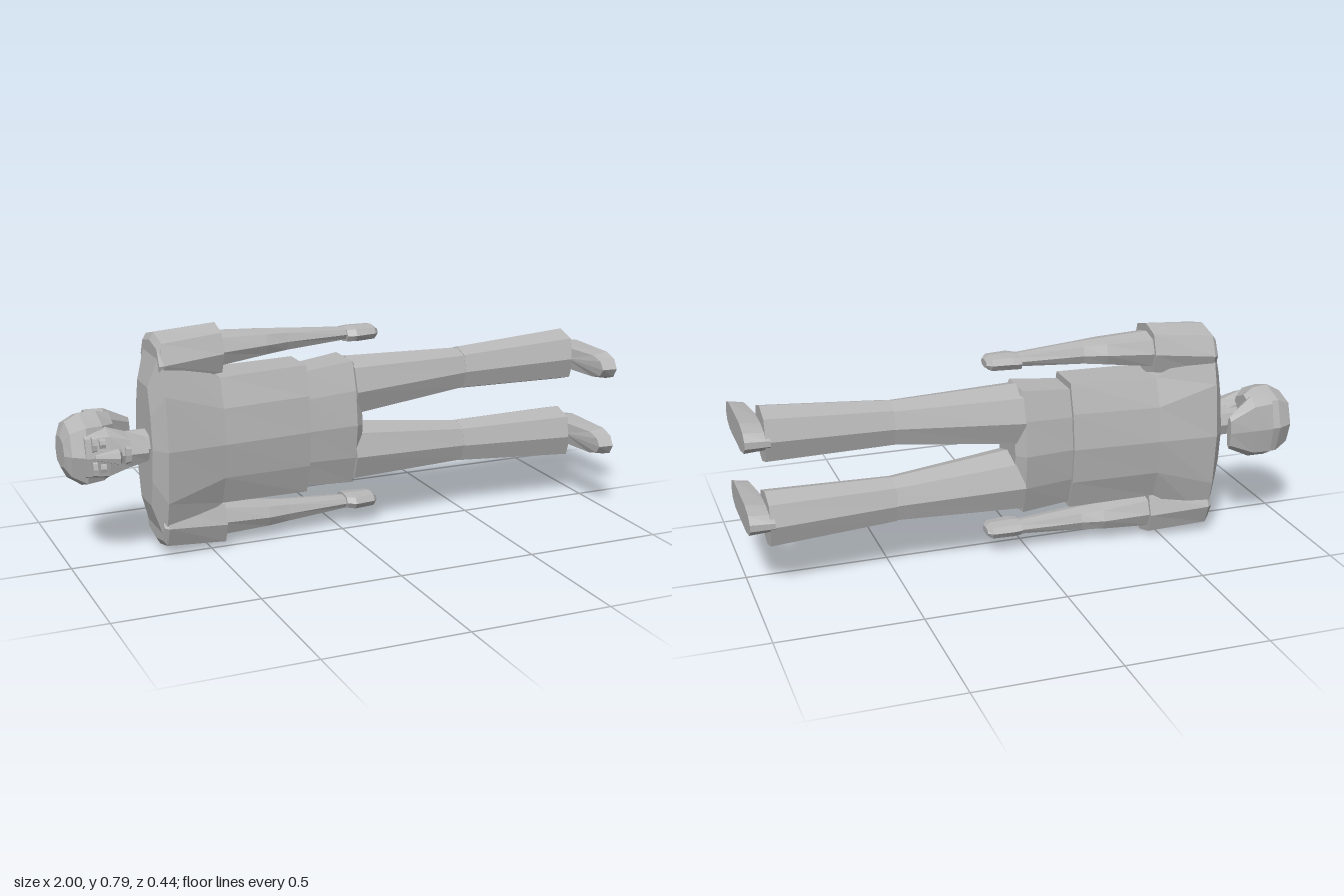
import * as THREE from 'three';

const grey = new THREE.MeshStandardMaterial({ color: 0xb6b6b6 });
grey.name = 'plain grey';

// Unit cross-sections as [y, z], counter-clockwise about +x
const octagon = [[1, 0], [0.76, 0.76], [0, 1], [-0.76, 0.76], [-1, 0], [-0.76, -0.76], [0, -1], [0.76, -0.76]];
const broad = [[1, -0.6], [1, 0.6], [0.55, 0.87], [0, 1], [-0.55, 0.87], [-1, 0.6], [-1, -0.6], [-0.55, -0.87], [0, -1], [0.55, -0.87]];

// Faceted mesh from a flat list of triangle corners
function facetedMesh(name, corners) {
  const geo = new THREE.BufferGeometry();
  geo.setAttribute('position', new THREE.Float32BufferAttribute(corners, 3));
  geo.computeVertexNormals();
  const mesh = new THREE.Mesh(geo, grey);
  mesh.name = name;
  return mesh;
}

// Closed loft along x; each station is [x, yMin, yMax, zMin, zMax]
function loft(name, stations, section = octagon) {
  const rings = stations.map(([x, y0, y1, z0, z1]) => section.map(([u, v]) =>
    [x, (y0 + y1) / 2 + u * (y1 - y0) / 2, (z0 + z1) / 2 + v * (z1 - z0) / 2]));
  const mid = ([x, y0, y1, z0, z1]) => [x, (y0 + y1) / 2, (z0 + z1) / 2];
  const first = mid(stations[0]), last = mid(stations[stations.length - 1]);
  const end = rings[rings.length - 1], n = section.length, p = [];
  for (let j = 0; j < n; j++) {
    const k = (j + 1) % n;
    p.push(...first, ...rings[0][k], ...rings[0][j], ...last, ...end[j], ...end[k]);
    for (let i = 0; i < rings.length - 1; i++) {
      const a = rings[i], b = rings[i + 1];
      p.push(...a[j], ...a[k], ...b[k], ...a[j], ...b[k], ...b[j]);
    }
  }
  return facetedMesh(name, p);
}

// Stations for the opposite side of the body
const MID = 0.405;
const flip = (stations) => stations.map(([x, a, b, c, d]) => [x, 2 * MID - b, 2 * MID - a, c, d]);

// Shoe with a flat rounded sole at x = 1 and a lower toe than heel
function shoe(name, y) {
  const outline = [[0, 0.215], [0.034, 0.195], [0.05, 0.145], [0.05, -0.075], [0.036, -0.14], [0.012, -0.168],
    [-0.012, -0.168], [-0.036, -0.14], [-0.05, -0.075], [-0.05, 0.145], [-0.034, 0.195]];
  const sole = ([a, z]) => [1, y + a, z];
  const top = ([a, z]) => [z > 0.13 ? 0.945 : 0.915, y + a * 0.8, z - 0.005];
  const p = [];
  outline.forEach((a, j) => {
    const b = outline[(j + 1) % outline.length];
    p.push(1, y, 0, ...sole(b), ...sole(a), 0.92, y, 0, ...top(a), ...top(b));
    p.push(...sole(a), ...top(b), ...top(a), ...sole(a), ...sole(b), ...top(b));
  });
  return facetedMesh(name, p);
}

export function createModel() {
  const model = new THREE.Group();
  model.name = 'lyingFigure';

  // Shirt and hips
  model.add(loft('shirt', [
    [-0.71, 0.19, 0.61, -0.17, 0.03],
    [-0.67, 0.06, 0.745, -0.22, 0.088],
    [-0.46, 0.175, 0.625, -0.2, 0.068],
    [-0.14, 0.17, 0.635, -0.185, 0.05]], broad));
  model.add(loft('hips', [
    [-0.15, 0.19, 0.61, -0.17, 0.04],
    [0.04, 0.18, 0.63, -0.2, 0.045],
    [0.07, 0.23, 0.57, -0.16, 0.02]], broad));

  // Sleeves, arms, legs and shoes on both sides
  const limbs = {
    Sleeve: [[-0.68, 0.62, 0.76, -0.18, 0.04], [-0.665, 0.6, 0.785, -0.19, 0.05], [-0.45, 0.62, 0.802, -0.16, 0.035]],
    Arm: [[-0.46, 0.645, 0.775, -0.15, 0.015], [-0.28, 0.672, 0.765, -0.135, 0.005],
      [-0.2, 0.68, 0.76, -0.115, -0.01], [0.04, 0.698, 0.742, -0.105, -0.03]],
    Hand: [[0.03, 0.69, 0.742, -0.12, -0.02], [0.06, 0.69, 0.746, -0.12, -0.005],
      [0.135, 0.692, 0.745, -0.115, -0.015], [0.152, 0.705, 0.732, -0.1, -0.035]],
    Thigh: [[0.04, 0.415, 0.635, -0.19, 0.045], [0.5, 0.468, 0.622, -0.15, 0.003]],
    Shin: [[0.49, 0.466, 0.625, -0.152, 0.005], [0.93, 0.46, 0.655, -0.168, 0.027]],
  };
  for (const [part, stations] of Object.entries(limbs)) {
    model.add(loft('left' + part, flip(flip(stations))), loft('right' + part, flip(stations)));
  }
  model.add(shoe('leftShoe', 0.555), shoe('rightShoe', 0.262));

  // Head, hair falling behind the neck, jaw and neck
  model.add(loft('skull', [
    [-1, 0.345, 0.455, -0.15, -0.02],
    [-0.98, 0.305, 0.5, -0.19, 0.01],
    [-0.93, 0.272, 0.528, -0.21, 0.038],
    [-0.87, 0.275, 0.525, -0.205, 0.02],
    [-0.82, 0.29, 0.51, -0.2, -0.04]]));
  model.add(loft('backHair', [
    [-0.9, 0.28, 0.52, -0.213, -0.08],
    [-0.83, 0.285, 0.515, -0.213, -0.1],
    [-0.73, 0.34, 0.46, -0.21, -0.18]]));
  model.add(loft('face', [
    [-0.94, 0.315, 0.485, -0.06, 0.04],
    [-0.86, 0.31, 0.49, -0.08, 0.052],
    [-0.79, 0.34, 0.465, -0.09, 0.056],
    [-0.73, 0.36, 0.445, -0.06, 0.058]]));
  model.add(loft('neck', [[-0.82, 0.35, 0.45, -0.12, 0], [-0.69, 0.345, 0.455, -0.12, 0.01]]));

  // Facial features
  model.add(loft('nose', [
    [-0.91, 0.392, 0.412, 0.03, 0.05],
    [-0.835, 0.375, 0.43, 0.03, 0.088],
    [-0.825, 0.38, 0.425, 0.03, 0.07]]));
  model.add(loft('mouth', [[-0.81, 0.37, 0.435, 0.04, 0.062], [-0.79, 0.375, 0.43, 0.04, 0.062]]));
  const brow = [[-0.92, 0.42, 0.475, 0.02, 0.05], [-0.905, 0.42, 0.475, 0.02, 0.055]];
  const eye = [[-0.895, 0.43, 0.465, 0.02, 0.053], [-0.875, 0.43, 0.465, 0.02, 0.055]];
  model.add(loft('leftBrow', brow), loft('rightBrow', flip(brow)));
  model.add(loft('leftEye', eye), loft('rightEye', flip(eye)));
  return model;
}
